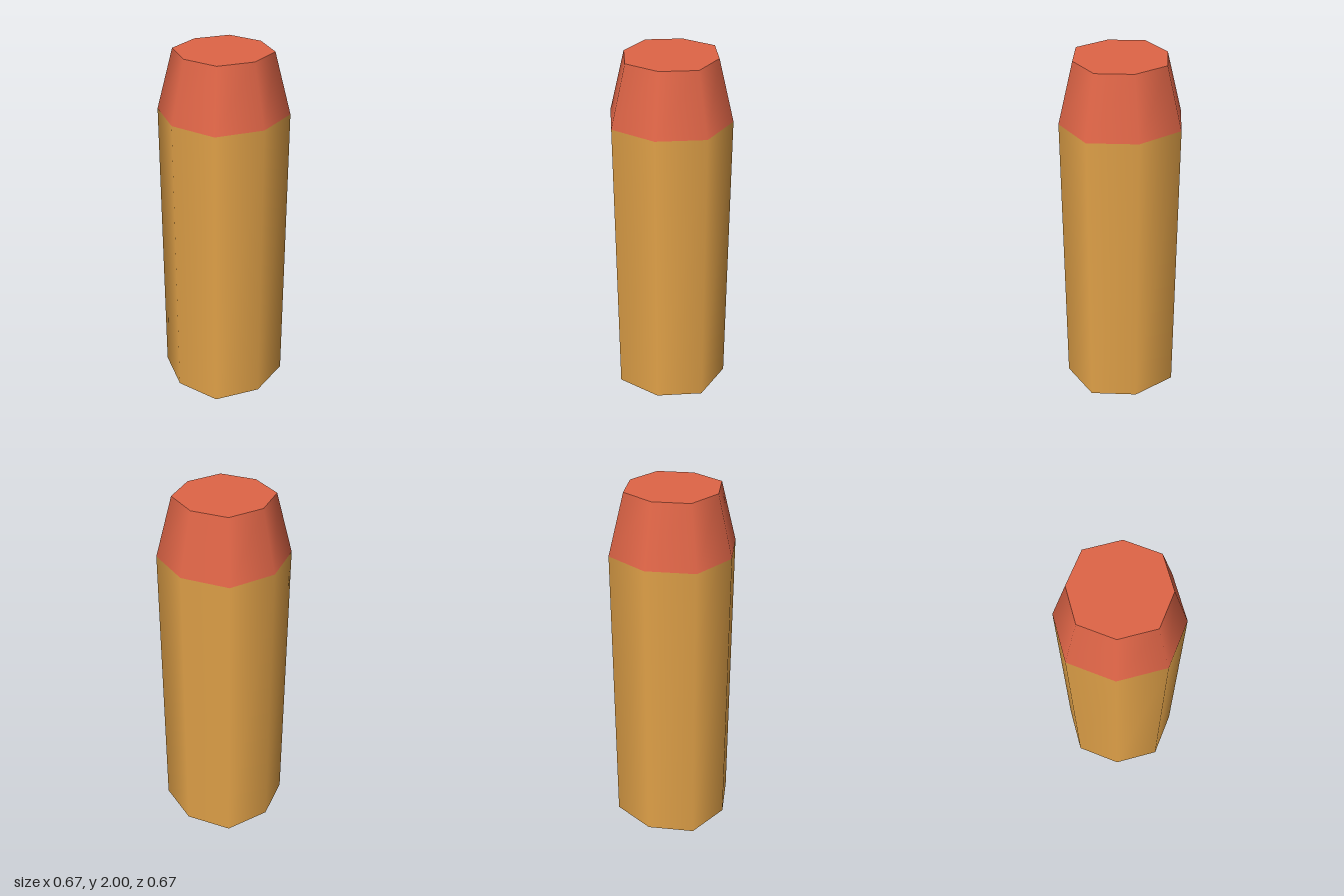
import * as THREE from 'three';

const bodyMaterial = new THREE.MeshStandardMaterial({ color: 0xe0a148 });
bodyMaterial.name = 'ochre';
const tipMaterial = new THREE.MeshStandardMaterial({ color: 0xdf6547 });
tipMaterial.name = 'coral red';

// Eight-sided section whose diagonal corners sit at 3/4 of the half-width on each axis
function octagonPrism(topRadius, bottomRadius, height, openEnded) {
  const geometry = new THREE.CylinderGeometry(topRadius, bottomRadius, height, 8, 1, openEnded);
  const position = geometry.attributes.position;
  const stretch = 0.75 * Math.SQRT2;
  for (let i = 0; i < position.count; i++) {
    const x = position.getX(i), z = position.getZ(i);
    if (Math.abs(x) > 0.01 && Math.abs(z) > 0.01) {
      position.setX(i, x * stretch);
      position.setZ(i, z * stretch);
    }
  }
  return geometry;
}

export function createModel() {
  const model = new THREE.Group();
  model.name = 'taperedDart';

  // Straight shaft, standing on the ground
  const shaft = new THREE.Mesh(octagonPrism(1 / 3, 1 / 3, 5 / 3, false), bodyMaterial);
  shaft.name = 'shaft';
  shaft.position.y = 5 / 6;
  model.add(shaft);

  // Tapered tip with a flat end
  const tip = new THREE.Mesh(octagonPrism(0.25, 1 / 3, 1 / 3, false), tipMaterial);
  tip.name = 'tip';
  tip.position.y = 11 / 6;
  model.add(tip);

  return model;
}
